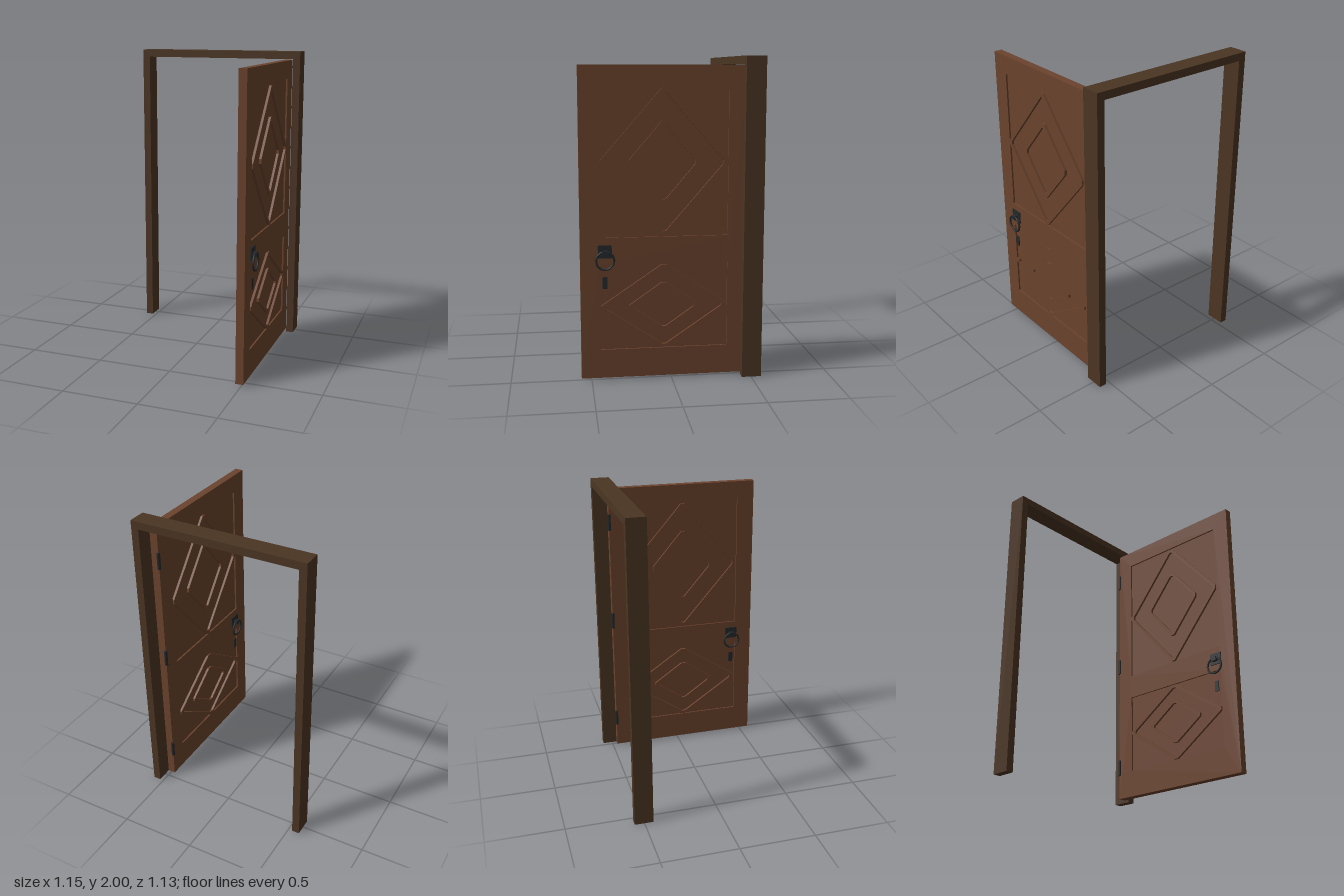
import * as THREE from 'three';

const wood = new THREE.MeshStandardMaterial({ color: 0x6b432d, name: 'doorWood' });
const darkWood = new THREE.MeshStandardMaterial({ color: 0x4b3523, name: 'frameWood' });
const iron = new THREE.MeshStandardMaterial({ color: 0x25292c, name: 'blackIron' });

const T = 0.052; // door thickness

function add(parent, name, geometry, material, x = 0, y = 0, z = 0) {
  const mesh = new THREE.Mesh(geometry, material);
  mesh.name = name;
  mesh.position.set(x, y, z);
  parent.add(mesh);
  return mesh;
}

const box = (w, h, d) => new THREE.BoxGeometry(w, h, d);

// flat shape extruded evenly to both sides of z = 0
function slab(shape, depth) {
  const g = new THREE.ExtrudeGeometry(shape, { depth, bevelEnabled: false });
  return g.translate(0, 0, -depth / 2);
}

const rect = (x0, x1, y0, y1) =>
  [[x0, y0], [x1, y0], [x1, y1], [x0, y1]].map(p => new THREE.Vector2(...p));

// diamond with clipped tips
function diamond(w, h, clip) {
  const len = Math.hypot(w, h), a = clip * w / len, b = clip * h / len;
  return [[w, -b], [w, b], [a, h], [-a, h], [-w, b], [-w, -b], [-a, -h], [a, -h]]
    .map(p => new THREE.Vector2(...p));
}

// diamond moulding showing on both faces of the door
function moulding(w, h) {
  const d = 0.018, len = Math.hypot(w, h);
  const shape = new THREE.Shape(diamond(w, h, 0.02));
  shape.holes.push(new THREE.Path(diamond(w - d * len / h, h - d * len / w, 0.014)));
  return slab(shape, T + 0.01);
}

export function createModel() {
  const model = new THREE.Group();
  model.name = 'openDoor';

  // door frame
  const frame = new THREE.Group();
  frame.name = 'doorFrame';
  frame.position.z = -0.503;
  model.add(frame);
  const outline = new THREE.Shape([
    [-0.577, 0], [-0.527, 0], [-0.527, 1.95], [0.527, 1.95],
    [0.527, 0], [0.577, 0], [0.577, 2], [-0.577, 2],
  ].map(p => new THREE.Vector2(...p)));
  add(frame, 'postsAndLintel', slab(outline, 0.123), darkWood);

  // door leaf, drawn flat and swung open by a quarter turn
  const door = new THREE.Group();
  door.name = 'door';
  door.position.set(0.491, 0, 0.047);
  door.rotation.y = Math.PI / 2;
  model.add(door);

  const panels = [
    { y0: 0.905, y1: 1.825, cy: 1.362, outer: 0.45, inner: 0.252 },
    { y0: 0.197, y1: 0.737, cy: 0.466, outer: 0.264, inner: 0.15 },
  ];
  const leaf = new THREE.Shape(rect(-0.516, 0.516, 0.015, 1.945));
  for (const p of panels) leaf.holes.push(new THREE.Path(rect(-0.398, 0.398, p.y0, p.y1)));
  add(door, 'stilesAndRails', slab(leaf, T), wood);

  // recessed panels with two diamond mouldings each
  for (const p of panels) {
    add(door, 'recessedPanel', box(0.8, p.y1 - p.y0 + 0.004, T - 0.022), wood, 0, (p.y0 + p.y1) / 2);
    add(door, 'outerDiamond', moulding(0.391, p.outer), wood, 0, p.cy);
    add(door, 'innerDiamond', moulding(0.216, p.inner), wood, 0, p.cy);
  }

  // ring handle and lock plate on both faces
  const hx = -0.365;
  for (const s of [-1, 1]) {
    const handle = new THREE.Group();
    handle.name = s > 0 ? 'outerHandle' : 'innerHandle';
    door.add(handle);
    add(handle, 'backPlate', box(0.085, 0.08, 0.007), iron, hx, 0.82, s * (T / 2 + 0.0035));
    add(handle, 'ringHolder', box(0.034, 0.028, 0.031), iron, hx, 0.814, s * (T / 2 + 0.0155));
    add(handle, 'pullRing', new THREE.TorusGeometry(0.056, 0.007, 8, 12), iron, hx, 0.767, s * (T / 2 + 0.022));
    add(handle, 'lockPlate', box(0.03, 0.073, 0.006), iron, hx, 0.625, s * (T / 2 + 0.003));
  }

  // hinge knuckles at the back edge
  for (const y of [0.235, 1.005, 1.715]) {
    add(model, 'hinge', new THREE.CylinderGeometry(0.011, 0.011, 0.11, 12), iron, 0.466, y, -0.468);
  }

  return model;
}
